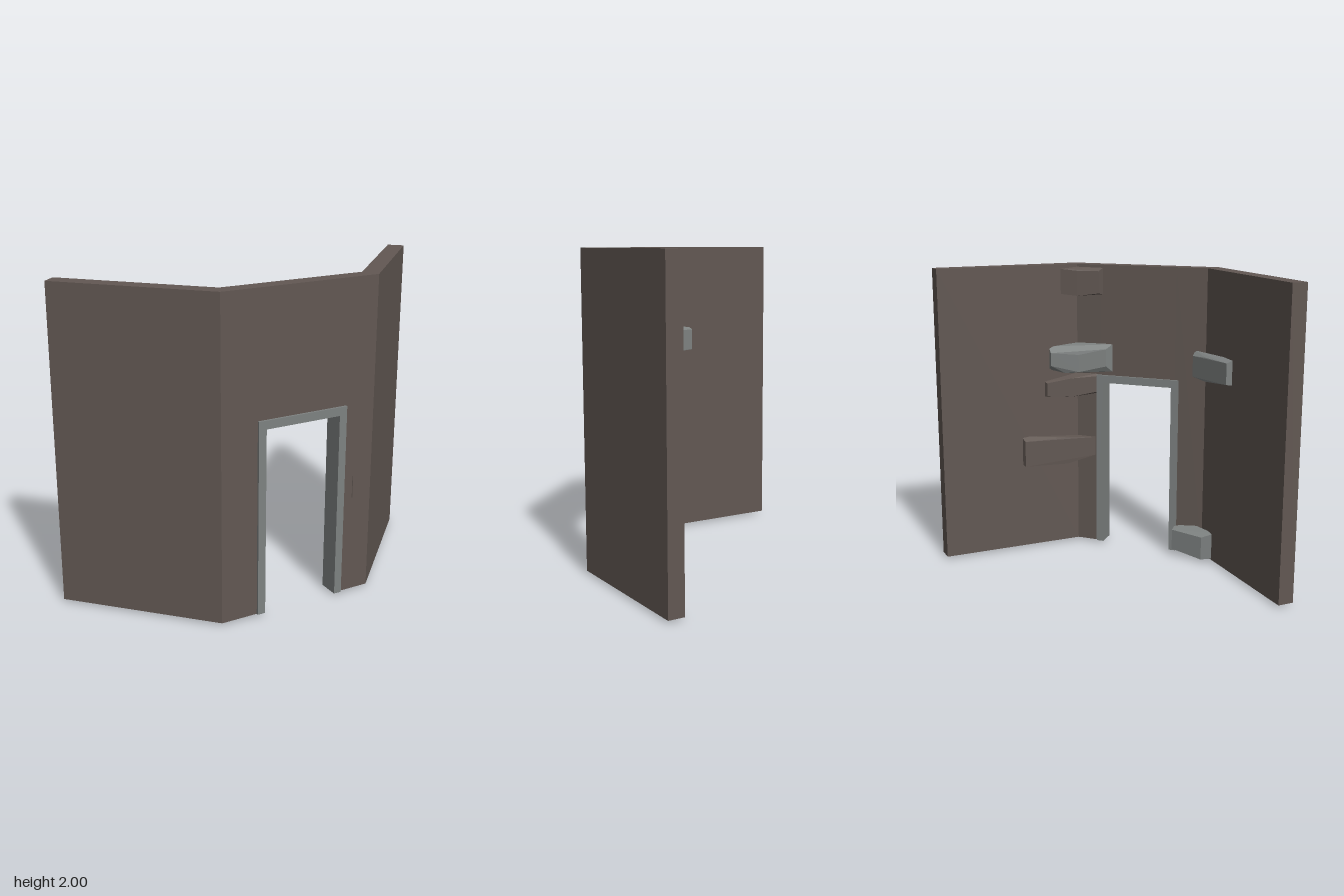
import * as THREE from 'three';
import { ConvexGeometry } from 'three/addons/geometries/ConvexGeometry.js';

const wallBrown = new THREE.MeshStandardMaterial({ color: 0x625853 });
wallBrown.name = 'wall brown';
const stoneGrey = new THREE.MeshStandardMaterial({ color: 0x7e8281 });
stoneGrey.name = 'stone grey';

const BASE = 0.02, TOP = 2, DOOR_TOP = 1.21;

function add(group, name, geometry, material) {
  const mesh = new THREE.Mesh(geometry, material);
  mesh.name = name;
  group.add(mesh);
  return mesh;
}

// Upright prism from a plan of [x, z] corners
function prism(plan, y0, y1) {
  const shape = new THREE.Shape(plan.map(([x, z]) => new THREE.Vector2(x, -z)));
  const geometry = new THREE.ExtrudeGeometry(shape, { depth: y1 - y0, bevelEnabled: false });
  return geometry.rotateX(-Math.PI / 2).translate(0, y0, 0);
}

// Rough hewn block: hull of upright edges [x, z, low, high]
function stone(edges) {
  const points = [];
  for (const [x, z, low, high] of edges) {
    points.push(new THREE.Vector3(x, low, z), new THREE.Vector3(x, high, z));
  }
  return new ConvexGeometry(points);
}

export function createModel() {
  const model = new THREE.Group();
  model.name = 'cornerWallWithDoorway';

  // Walls on both sides of the doorway, and the wall above it
  const doorA = [[0.33, 0.685], [0.259, 0.613]];
  const doorB = [[0.71, 0.305], [0.639, 0.233]];
  add(model, 'frontWall', prism([
    [-0.875, 0.865], [0.145, 0.87], ...doorA, [0.105, 0.765], [-0.875, 0.76],
  ], BASE, TOP), wallBrown);
  add(model, 'sideWall', prism([
    [0.87, -0.875], [0.87, 0.145], ...doorB, [0.765, 0.11], [0.765, -0.875],
  ], BASE, TOP), wallBrown);
  add(model, 'wallAboveDoor', prism([
    doorA[0], doorB[0], doorB[1], doorA[1],
  ], DOOR_TOP, TOP), wallBrown);

  // Door frame, set across the diagonal wall
  const w = 0.297, i = 0.247;
  const outline = [[-w, BASE], [-i, BASE], [-i, 1.187], [i, 1.187], [i, BASE], [w, BASE], [w, 1.24], [-w, 1.24]];
  const frameShape = new THREE.Shape(outline.map(([x, y]) => new THREE.Vector2(x, y)));
  const frame = add(model, 'doorFrame',
    new THREE.ExtrudeGeometry(frameShape, { depth: 0.131, bevelEnabled: false }), stoneGrey);
  frame.rotation.y = Math.PI / 4;
  frame.position.set(0.4375, 0, 0.4125);

  // Stones standing out of the inner faces
  add(model, 'topCornerStone', stone([
    [0.60, 0.20, 1.81, 1.96], [0.63, 0.25, 1.80, 1.98], [0.69, 0.08, 1.79, 1.96],
    [0.765, -0.01, 1.80, 1.97], [0.80, 0.12, 1.80, 1.985],
  ]), wallBrown);
  add(model, 'upperCornerStone', stone([
    [0.565, 0.24, 1.31, 1.43], [0.57, 0.29, 1.27, 1.46], [0.645, 0.07, 1.27, 1.39],
    [0.70, -0.01, 1.26, 1.37], [0.735, -0.10, 1.31, 1.40], [0.78, -0.10, 1.28, 1.44],
    [0.80, 0.12, 1.25, 1.46],
  ]), stoneGrey);
  add(model, 'middleCornerStone', stone([
    [0.645, 0.20, 1.12, 1.23], [0.66, 0.24, 1.11, 1.25], [0.69, 0.03, 1.09, 1.22],
    [0.735, -0.13, 1.10, 1.19], [0.78, -0.14, 1.09, 1.20], [0.80, 0.12, 1.10, 1.25],
  ]), wallBrown);
  add(model, 'lowerCornerStone', stone([
    [0.66, 0.20, 0.66, 0.79], [0.69, 0.00, 0.61, 0.80], [0.73, -0.30, 0.61, 0.79],
    [0.78, -0.31, 0.62, 0.82], [0.78, 0.24, 0.64, 0.78],
  ]), wallBrown);
  add(model, 'upperWallStone', stone([
    [-0.24, 0.72, 1.29, 1.43], [-0.24, 0.78, 1.28, 1.45], [0.00, 0.70, 1.27, 1.43],
    [0.14, 0.685, 1.28, 1.42], [0.17, 0.72, 1.28, 1.45],
  ]), stoneGrey);
  add(model, 'baseStone', stone([
    [0.20, 0.58, 0.05, 0.19], [0.235, 0.615, 0.04, 0.20], [0.00, 0.70, 0.02, 0.18],
    [-0.04, 0.78, 0.03, 0.21], [0.03, 0.84, 0.003, 0.15], [0.20, 0.72, 0.02, 0.22],
  ]), stoneGrey);

  return model;
}
